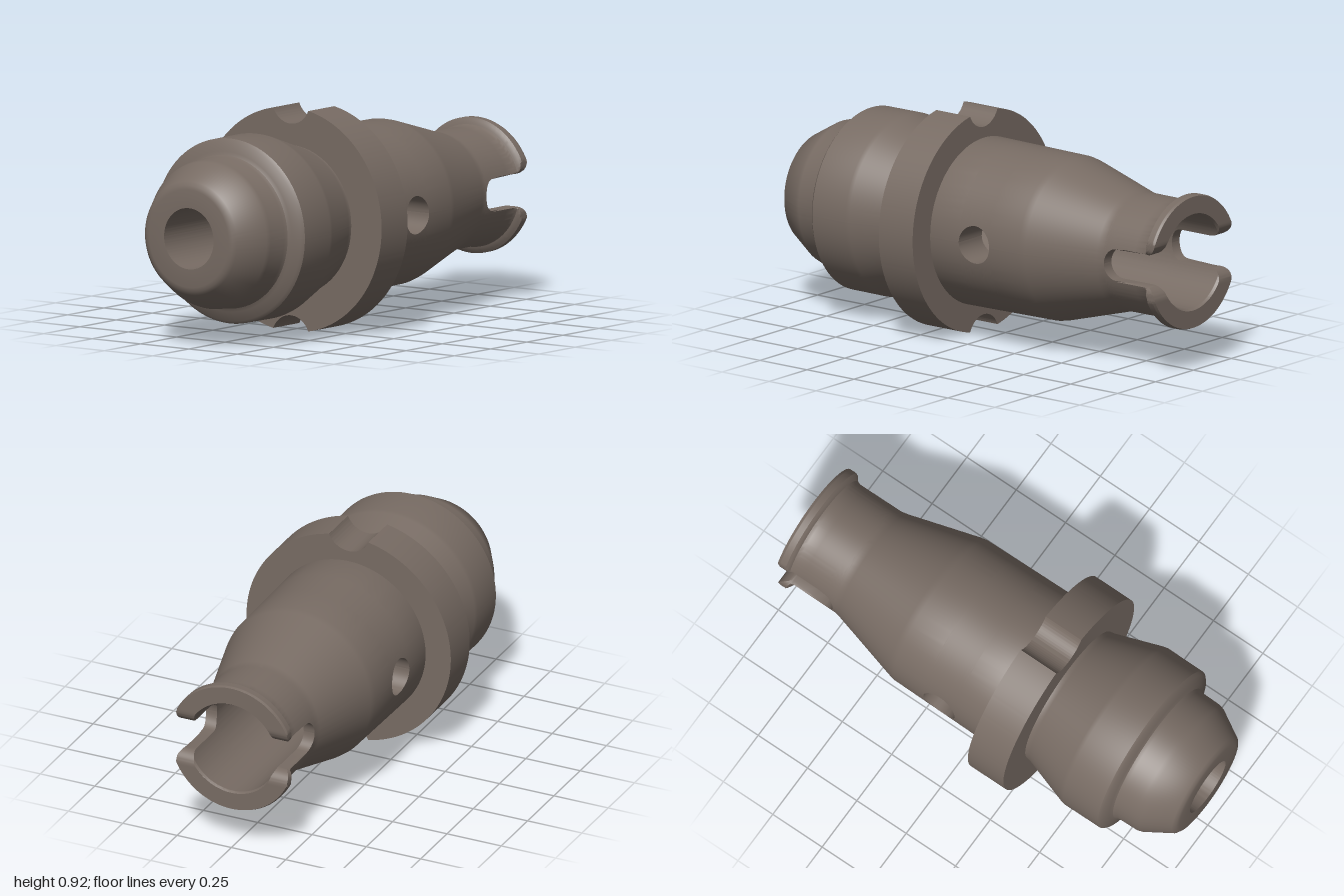
import * as THREE from 'three';
import { toCreasedNormals } from 'three/addons/utils/BufferGeometryUtils.js';

const AXIS = 0.461, ROWS = 72;
const HOLE = { x: 0.115, r: 0.08 };               // cross hole
const SLOT = { start: 0.725, round: 0.055, half: 0.067, flare: 0.94 }; // end slots

// Outer and inner profiles as [x, radius]
const outer = [
  [-1, 0.128], [-1, 0.205], [-0.996, 0.222], [-0.985, 0.238], [-0.87, 0.305], [-0.85, 0.311], [-0.76, 0.313],
  [-0.745, 0.32], [-0.737, 0.335], [-0.727, 0.375], [-0.715, 0.387], [-0.54, 0.388], [-0.52, 0.384],
  [-0.32, 0.318], [-0.295, 0.313], [-0.115, 0.354], [0.35, 0.348], [0.38, 0.342], [0.69, 0.256], [0.72, 0.25],
  [0.93, 0.249], [0.945, 0.256], [0.953, 0.275], [0.96, 0.284], [0.99, 0.284], [1, 0.28],
];
const inner = [[1, 0.206], [0.99, 0.2], [-0.3, 0.2], [-0.3, 0.128], [-1, 0.128]];

// Radius of a profile at x
function radiusAt(profile, x) {
  for (let i = 1; i < profile.length; i++) {
    const [a, ra] = profile[i - 1], [b, rb] = profile[i];
    if (a !== b && (x - a) * (x - b) <= 0) return ra + (rb - ra) * (x - a) / (b - a);
  }
  return profile[profile.length - 1][1];
}

// Half height of the side openings at x
function opening(x) {
  const d = Math.abs(x - HOLE.x);
  if (d < HOLE.r) return Math.sqrt(HOLE.r ** 2 - d * d);
  if (x <= SLOT.start) return 0;
  const t = Math.max(0, (SLOT.start + SLOT.round - x) / SLOT.round);
  let h = SLOT.half * Math.sqrt(Math.max(0, 1 - t * t));
  if (x > SLOT.flare) {
    const f = Math.min(1, (x - SLOT.flare) / (1 - SLOT.flare));
    h += 0.06 * (1 - Math.sqrt(1 - f * f));
  }
  return h;
}

// Point on the body, with the prong corners rounded beside the slots
function bodyPoint(x, r, angle) {
  const y = r * Math.sin(angle);
  let z = r * Math.cos(angle);
  if (x > 0.78) {
    const base = 0.24 - 0.015 * Math.min(1, (x - 0.78) / 0.15);
    const k = Math.max(0, Math.min(0.03, y - SLOT.half));
    const limit = base + Math.sqrt(0.03 ** 2 - (0.03 - k) ** 2);
    z = Math.max(-limit, Math.min(limit, z));
  }
  return [x, y, z];
}

// Triangle positions of an n by m grid of points
function grid(n, m, point, out) {
  for (let i = 0; i < n; i++) {
    for (let j = 0; j < m; j++) {
      const a = point(i, j), b = point(i + 1, j), c = point(i + 1, j + 1), d = point(i, j + 1);
      out.push(...a, ...b, ...c, ...a, ...c, ...d);
    }
  }
}

// Columns that follow the openings closely
const steps = (n, f) => Array.from({ length: n + 1 }, (_, i) => f(i / n));
const holeXs = steps(28, t => HOLE.x - HOLE.r * Math.cos(Math.PI * t));
const slotXs = [
  ...steps(12, t => SLOT.start + SLOT.round * (1 - Math.cos(Math.PI * t / 2))),
  0.83, 0.88, 0.93,
  ...steps(14, t => SLOT.flare + (1 - SLOT.flare) * Math.sin(Math.PI * t / 2)),
];

// Insert the opening columns into a profile
function refine(profile) {
  const result = [profile[0]];
  for (let i = 1; i < profile.length; i++) {
    const [a, ra] = profile[i - 1], [b, rb] = profile[i];
    const extra = [...holeXs, ...slotXs].filter(x => (x - a) * (x - b) < -1e-9);
    extra.sort((p, q) => (p - q) * Math.sign(b - a));
    for (const x of extra) result.push([x, ra + (rb - ra) * (x - a) / (b - a)]);
    result.push(profile[i]);
  }
  return result;
}

// Upper half of the hollow body including the walls of its openings
function halfBody() {
  const out = [];
  const loop = [...refine(outer), ...refine(inner)];
  grid(loop.length - 1, ROWS, (i, j) => {
    const [x, r] = loop[i];
    const start = Math.asin(Math.min(1, opening(x) / r));
    const t = j / ROWS;
    const v = 0.5 * t + 0.25 * (1 - Math.cos(Math.PI * t));
    return bodyPoint(x, r, start + (Math.PI - 2 * start) * v);
  }, out);

  for (const xs of [holeXs, slotXs]) {
    for (const side of [1, -1]) {
      grid(xs.length - 1, 1, (i, j) => {
        const x = xs[i], onOuter = (j === 1) === (side === 1);
        const r = radiusAt(onOuter ? outer : inner, x);
        const a = Math.asin(opening(x) / r);
        return bodyPoint(x, r, side === 1 ? a : Math.PI - a);
      }, out);
    }
  }
  const geometry = new THREE.BufferGeometry();
  geometry.setAttribute('position', new THREE.Float32BufferAttribute(out, 3));
  return toCreasedNormals(geometry, 0.55);
}

// Flange disc with a round notch at top and bottom
function flangeGeometry() {
  const R = 0.47, notchR = 0.0975, notchY = 0.4985;
  const edge = Math.atan2(0.09, 0.461);
  const cut = Math.atan2(0.461 - notchY, 0.09);
  const shape = new THREE.Shape();
  for (const turn of [0, Math.PI]) {
    shape.absarc(0, 0, R, turn - Math.PI / 2 + edge, turn + Math.PI / 2 - edge, false);
    const s = turn ? -1 : 1;
    shape.absarc(0, s * notchY, notchR, turn + cut, turn + Math.PI - cut, true);
  }
  const bore = new THREE.Path();
  bore.absarc(0, 0, 0.3, 0, Math.PI * 2, true);
  shape.holes.push(bore);
  const geometry = new THREE.ExtrudeGeometry(shape, { depth: 0.18, bevelEnabled: false, curveSegments: 64 });
  geometry.rotateY(Math.PI / 2).translate(-0.295, 0, 0);
  return toCreasedNormals(geometry, 0.5);
}

export function createModel() {
  const model = new THREE.Group();
  model.name = 'toolHolder';
  const material = new THREE.MeshStandardMaterial({ color: 0x776b63 });

  const half = halfBody();
  ['upperBody', 'lowerBody'].forEach((name, i) => {
    const mesh = new THREE.Mesh(half, material);
    mesh.name = name;
    mesh.rotation.x = i * Math.PI;
    mesh.position.y = AXIS;
    model.add(mesh);
  });

  const flange = new THREE.Mesh(flangeGeometry(), material);
  flange.name = 'notchedFlange';
  flange.position.y = AXIS;
  model.add(flange);
  return model;
}
